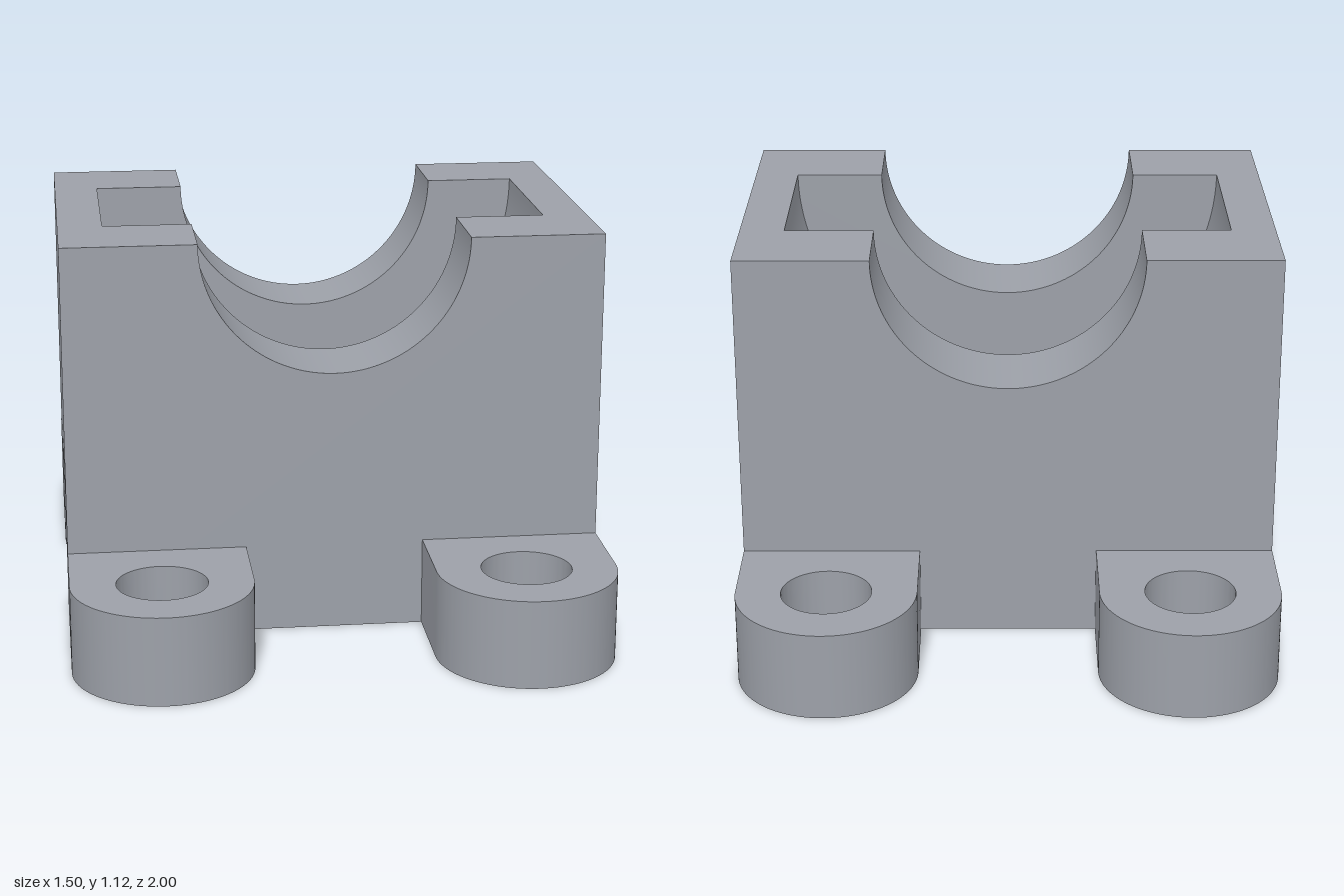
import * as THREE from 'three';
import { toCreasedNormals } from 'three/addons/utils/BufferGeometryUtils.js';

const material = new THREE.MeshStandardMaterial({ color: 0x9da1a9 });
const TOP = 1.125;       // height of the split plane, centre of the bore
const HALF_WIDTH = 0.75;

function extrude(shape, depth) {
  return new THREE.ExtrudeGeometry(shape, { depth, bevelEnabled: false, curveSegments: 48 });
}

// Block slice with a half-round cut in its top edge
function saddleSlice(bottom, radius, depth) {
  const s = new THREE.Shape();
  s.moveTo(-HALF_WIDTH, bottom);
  s.lineTo(HALF_WIDTH, bottom);
  s.lineTo(HALF_WIDTH, TOP);
  s.lineTo(radius, TOP);
  s.absarc(0, TOP, radius, 0, -Math.PI, true);
  s.lineTo(-HALF_WIDTH, TOP);
  s.closePath();
  return toCreasedNormals(extrude(s, depth), 0.5);
}

// Round-ended mounting lug with a bolt hole, pointing to +z
function lugGeometry() {
  const s = new THREE.Shape();
  s.moveTo(-0.25, 0.5);
  s.lineTo(0.25, 0.5);
  s.lineTo(0.25, 0.75);
  s.absarc(0, 0.75, 0.25, 0, Math.PI, false);
  s.closePath();
  const hole = new THREE.Path();
  hole.absarc(0, 0.75, 0.125, 0, Math.PI * 2, true);
  s.holes.push(hole);
  const g = extrude(s, 0.25).rotateX(Math.PI / 2).translate(0, 0.25, 0);
  return toCreasedNormals(g, 0.5);
}

export function createModel() {
  const model = new THREE.Group();
  model.name = 'bearingBlock';

  const add = (name, geometry, x = 0, z = 0, turn = 0) => {
    const mesh = new THREE.Mesh(geometry, material);
    mesh.name = name;
    mesh.position.set(x, 0, z);
    mesh.rotation.y = turn;
    model.add(mesh);
  };

  // Middle with the wide bearing seat, raised over the cross slot
  add('bearingSeat', saddleSlice(0.375, 0.625, 0.5), 0, -0.25);

  // End walls with the narrow shaft opening
  const wall = saddleSlice(0, 0.375, 0.25);
  add('frontWall', wall, 0, 0.25);
  add('backWall', wall, 0, -0.5);

  // Four mounting lugs
  const lug = lugGeometry();
  for (const [side, x] of [['Left', 0.5], ['Right', -0.5]]) {
    add('front' + side + 'Lug', lug, x);
    add('back' + side + 'Lug', lug, x, 0, Math.PI);
  }
  return model;
}
